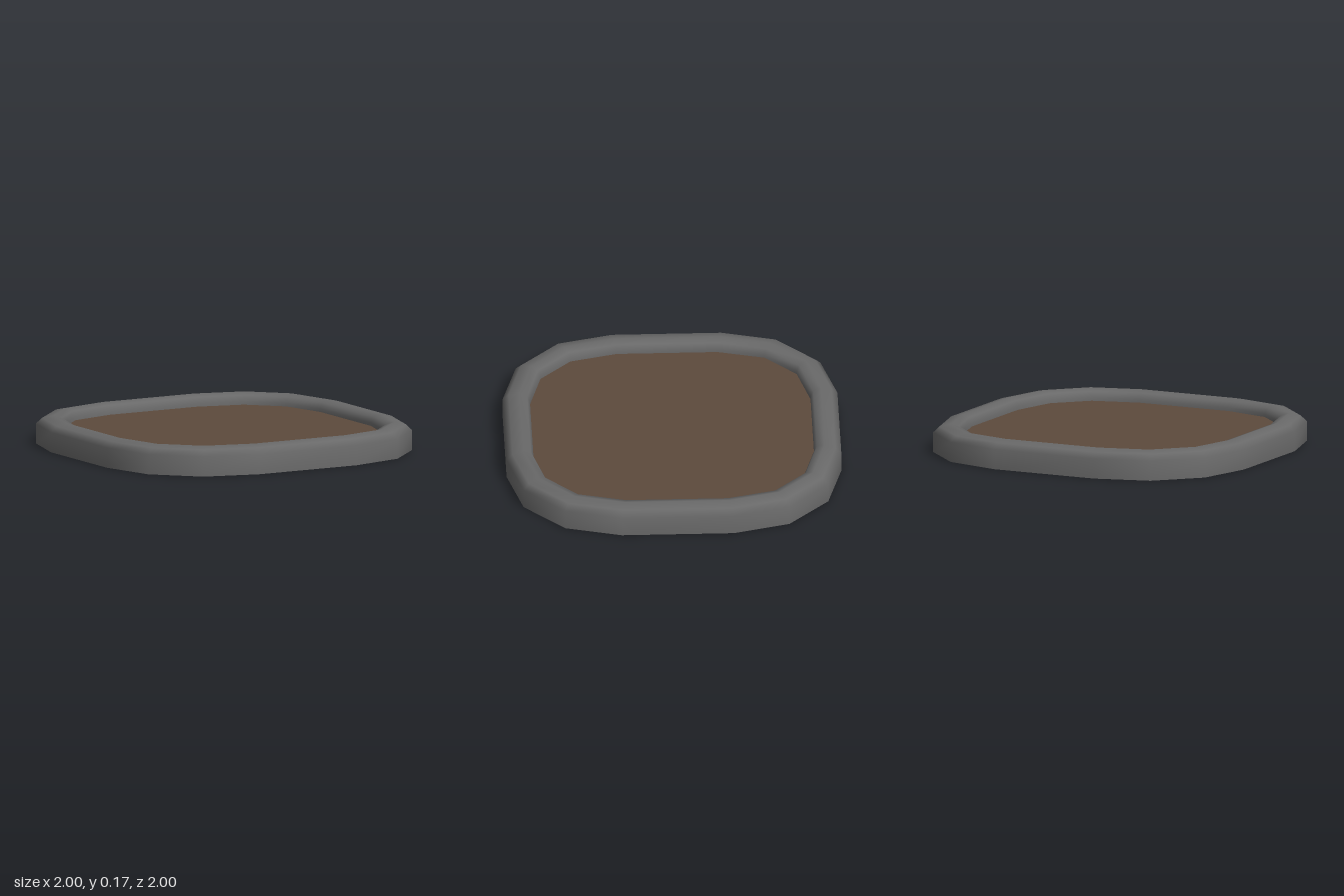
import * as THREE from 'three';

const rimMaterial = new THREE.MeshStandardMaterial({ color: 0x696969, side: THREE.DoubleSide });
rimMaterial.name = 'stone grey';
const soilMaterial = new THREE.MeshStandardMaterial({ color: 0x5d4a3c, side: THREE.DoubleSide });
soilMaterial.name = 'soil brown';

// One rounded corner of the outer and inner outlines, as [x, z]
const OUTER = [[1, 0.335], [0.91, 0.67], [0.67, 0.91], [0.335, 1]];
const INNER = [[0.838, 0.3], [0.765, 0.58], [0.58, 0.765], [0.3, 0.838]];

// Rim section: [0 = outer outline .. 1 = inner outline, height]
const SECTION = [[0, 0], [0, 0.12], [0.22, 0.155], [0.62, 0.17], [0.9, 0.155], [1, 0.12], [1, 0.08]];

// Repeats the corner by quarter turns, giving a closed 16-sided outline
function outline(t) {
  const points = [];
  for (let q = 0; q < 4; q++) {
    OUTER.forEach((p, i) => {
      const v = new THREE.Vector2(...p).lerp(new THREE.Vector2(...INNER[i]), t);
      points.push(v.rotateAround(new THREE.Vector2(), q * Math.PI / 2));
    });
  }
  return points;
}

// Open-bottomed rim shell, lofted through the section
function rimGeometry() {
  const positions = [], index = [], n = 16;
  SECTION.forEach(([t, y], r) => {
    outline(t).forEach((p, i) => {
      positions.push(p.x, y, p.y);
      if (r === SECTION.length - 1) return;
      const a = r * n + i, b = r * n + (i + 1) % n;
      index.push(a, a + n, b, b, a + n, b + n);
    });
  });
  const geometry = new THREE.BufferGeometry();
  geometry.setAttribute('position', new THREE.Float32BufferAttribute(positions, 3));
  geometry.setIndex(index);
  geometry.computeVertexNormals();
  return geometry;
}

export function createModel() {
  const model = new THREE.Group();
  model.name = 'planterBed';

  const rim = new THREE.Mesh(rimGeometry(), rimMaterial);
  rim.name = 'rim';

  // Flat soil sheet filling the rim
  const soil = new THREE.Mesh(new THREE.ShapeGeometry(new THREE.Shape(outline(1))), soilMaterial);
  soil.name = 'soil';
  soil.rotation.x = -Math.PI / 2;
  soil.position.y = 0.1;

  model.add(rim, soil);
  return model;
}
